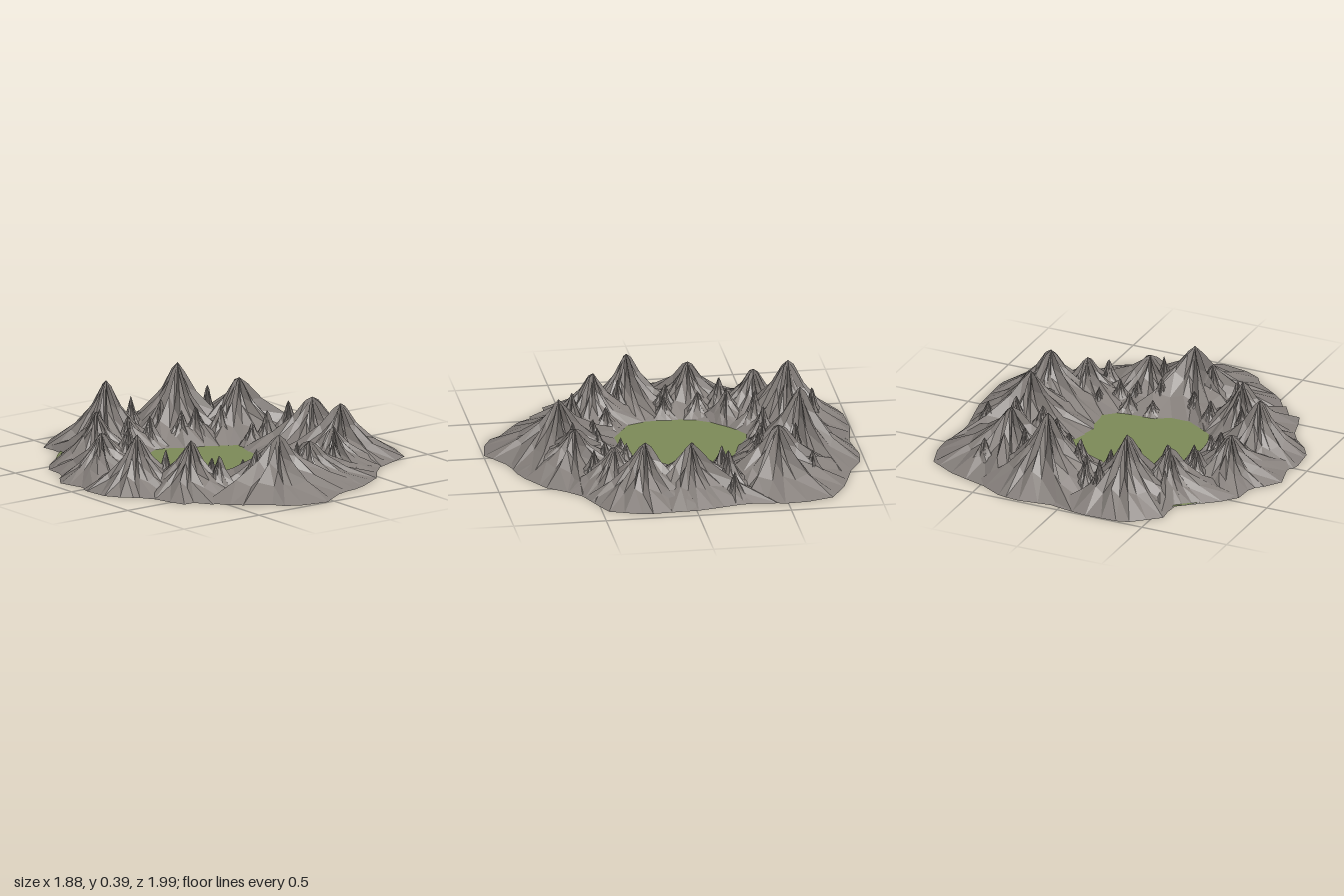
import * as THREE from 'three';

// small seeded generator, so the crags are the same every time
let seed = 11;
const rnd = () => {
  seed = (seed * 16807) % 2147483647;
  return seed / 2147483647;
};
const vary = (amount) => 1 + (rnd() * 2 - 1) * amount;

// outer foot of the range and shore of the inner meadow, as [x, z]
const outerFoot = [
  [-0.39, -0.99], [-0.1, -1], [-0.03, -0.95], [0.26, -0.99], [0.41, -0.96], [0.53, -0.86],
  [0.64, -0.87], [0.88, -0.73], [0.905, -0.5], [0.86, -0.34], [0.93, -0.02], [0.94, 0.28],
  [0.87, 0.47], [0.6, 0.58], [0.48, 0.74], [0.28, 0.86], [0.07, 0.89], [-0.02, 1],
  [-0.25, 0.96], [-0.37, 0.78], [-0.45, 0.78], [-0.57, 0.66], [-0.58, 0.58], [-0.69, 0.58],
  [-0.75, 0.36], [-0.91, 0.21], [-0.93, 0.02], [-0.9, -0.04], [-0.945, -0.21], [-0.82, -0.32],
  [-0.81, -0.48], [-0.69, -0.58], [-0.53, -0.71], [-0.56, -0.84],
];
const innerFoot = [
  [-0.34, -0.24], [-0.23, -0.35], [-0.12, -0.43], [-0.02, -0.41], [0.03, -0.36], [0.16, -0.32],
  [0.27, -0.24], [0.27, -0.16], [0.22, -0.05], [0.27, 0.05], [0.25, 0.19], [0.14, 0.21],
  [0, 0.21], [-0.12, 0.28], [-0.23, 0.24], [-0.34, 0.16], [-0.38, 0.05], [-0.37, -0.13],
];

// distance from a point along a direction to the nearest edge of a closed outline
function rayToOutline(px, pz, dx, dz, outline) {
  let best = Infinity;
  outline.forEach(([ax, az], i) => {
    const [bx, bz] = outline[(i + 1) % outline.length];
    const ex = bx - ax, ez = bz - az;
    const det = dx * ez - dz * ex;
    if (Math.abs(det) < 1e-9) return;
    const t = ((ax - px) * ez - (az - pz) * ex) / det;
    const s = ((ax - px) * dz - (az - pz) * dx) / det;
    if (t > 0 && s >= 0 && s <= 1) best = Math.min(best, t);
  });
  return best;
}

// concave mountain profile: [share of reach, share of height]
const profile = [[0.1, 0.8], [0.27, 0.54], [0.56, 0.27], [1, 0]];

// a craggy cone with alternating ridges and gullies
function mountainGeometry(x, z, height, radius, spokes, stretch) {
  const positions = [x, height, z];
  const index = [];
  const rings = profile.length;
  for (let i = 0; i < spokes; i++) {
    const angle = ((i + (rnd() - 0.5) * 0.6) / spokes) * Math.PI * 2;
    const dx = Math.cos(angle), dz = Math.sin(angle);
    const limit = Math.min(
      rayToOutline(x, z, dx, dz, outerFoot),
      rayToOutline(x, z, dx, dz, innerFoot));
    const reach = limit < radius * stretch ? limit : Math.min(limit, radius * vary(0.15));
    const ridge = (i % 2 ? 0.8 : 1.08) * vary(0.1);
    profile.forEach(([r, h], k) => {
      const turn = angle + (k < rings - 1 ? (rnd() - 0.5) * 2 / spokes : 0);
      const d = reach * r;
      const y = Math.min(height * h * ridge, height * 0.93);
      positions.push(x + Math.cos(turn) * d, y, z + Math.sin(turn) * d);
    });
    const a = 1 + i * rings, b = 1 + ((i + 1) % spokes) * rings;
    index.push(0, b, a);
    for (let k = 0; k < rings - 1; k++) {
      index.push(a + k, b + k, a + k + 1, b + k, b + k + 1, a + k + 1);
    }
  }
  const indexed = new THREE.BufferGeometry();
  indexed.setAttribute('position', new THREE.Float32BufferAttribute(positions, 3));
  indexed.setIndex(index);
  const geometry = indexed.toNonIndexed();
  geometry.computeVertexNormals();
  return geometry;
}

// [x, z, height, radius]
const mainPeaks = [
  [-0.26, -0.68, 0.36, 0.32], [0.21, -0.67, 0.39, 0.34], [0.5, -0.51, 0.295, 0.36],
  [0.62, -0.02, 0.27, 0.38], [0.62, 0.23, 0.285, 0.33], [0.47, 0.37, 0.21, 0.26],
  [0.18, 0.54, 0.21, 0.34], [-0.06, 0.59, 0.29, 0.38], [-0.46, 0.34, 0.27, 0.3],
  [-0.66, 0.13, 0.29, 0.28], [-0.65, -0.2, 0.23, 0.3], [-0.44, -0.52, 0.25, 0.29],
];
const smallPeaks = [
  [-0.18, 0.55, 0.22, 0.17], [-0.35, -0.36, 0.18, 0.15], [-0.52, -0.35, 0.18, 0.14],
  [-0.15, -0.79, 0.24, 0.11], [-0.05, -0.74, 0.23, 0.11], [-0.25, -0.5, 0.2, 0.11],
  [-0.09, -0.52, 0.17, 0.11], [0.1, -0.49, 0.18, 0.12], [0.18, -0.47, 0.19, 0.12],
  [0.32, -0.43, 0.19, 0.13], [0.37, -0.62, 0.25, 0.12], [0.58, -0.68, 0.17, 0.13],
  [0.37, -0.22, 0.13, 0.09], [0.46, -0.21, 0.18, 0.12], [0.61, -0.22, 0.21, 0.14],
  [0.77, -0.23, 0.15, 0.1], [0.04, 0.27, 0.09, 0.07], [0.17, 0.26, 0.11, 0.08],
  [0.27, 0.36, 0.13, 0.1], [0.05, 0.4, 0.16, 0.1], [0.18, 0.38, 0.13, 0.09],
  [0.35, 0.26, 0.11, 0.08], [0.39, 0.47, 0.17, 0.1], [-0.29, 0.3, 0.14, 0.1],
  [-0.15, 0.39, 0.13, 0.09], [-0.37, 0.47, 0.2, 0.13], [-0.52, 0.2, 0.2, 0.11],
  [-0.45, -0.04, 0.12, 0.09], [-0.52, -0.06, 0.16, 0.12], [-0.44, -0.22, 0.14, 0.11],
  [0.1, 0.54, 0.22, 0.12], [0.06, -0.62, 0.22, 0.11],
];

export function createModel() {
  seed = 11;
  const rock = new THREE.MeshStandardMaterial({
    color: 0x857f7b, flatShading: true, side: THREE.DoubleSide });
  rock.name = 'grey rock';
  const grass = new THREE.MeshStandardMaterial({ color: 0x7c8a57, side: THREE.DoubleSide });
  grass.name = 'meadow green';

  const model = new THREE.Group();
  model.name = 'mountainRing';

  // flat grass disc, just above the feet of the slopes
  const meadow = new THREE.Mesh(new THREE.CircleGeometry(0.855, 64), grass);
  meadow.name = 'meadow';
  meadow.rotation.x = -Math.PI / 2;
  meadow.position.set(0, 0.006, -0.05);
  model.add(meadow);

  // large mountains spread out to both feet; small ones stand on their slopes
  const addPeaks = (name, peaks, spokes, stretch) => {
    const group = new THREE.Group();
    group.name = name + 's';
    for (const [x, z, height, radius] of peaks) {
      const mesh = new THREE.Mesh(
        mountainGeometry(x, z, height, radius, spokes, stretch), rock);
      mesh.name = name;
      group.add(mesh);
    }
    model.add(group);
  };
  addPeaks('mountain', mainPeaks, 24, 1.4);
  addPeaks('crag', smallPeaks, 14, 1);
  return model;
}
